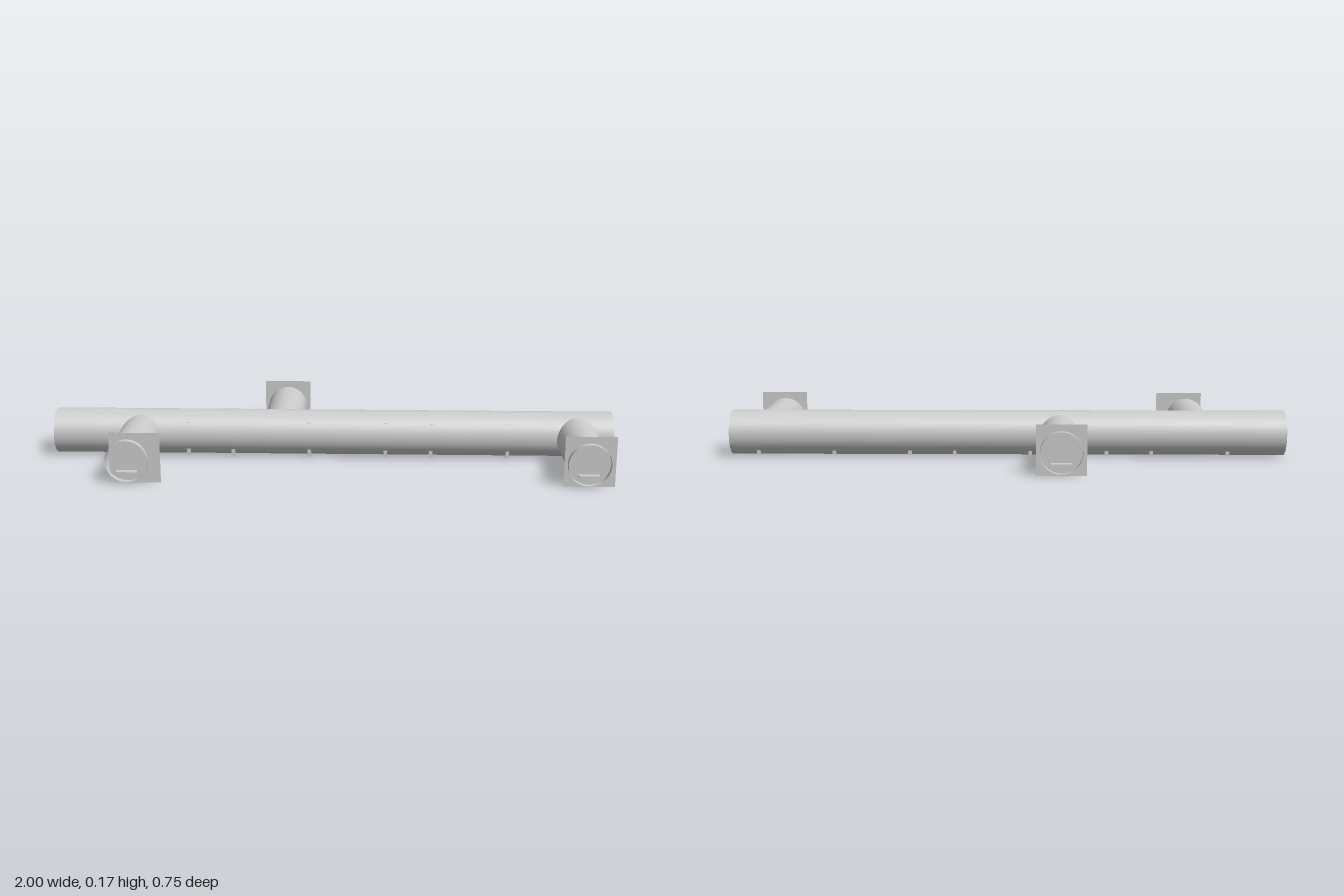
import * as THREE from 'three';

const material = new THREE.MeshStandardMaterial({ color: 0xcccccc, side: THREE.DoubleSide });
const MAIN = { r: 0.08, y: 0.082, z: 0.01 };
const BRANCH = { r: 0.072, y: 0.08, end: 0.372 };

function add(parent, name, geometry, x = 0, y = 0, z = 0) {
  const mesh = new THREE.Mesh(geometry, material);
  mesh.name = name;
  mesh.position.set(x, y, z);
  parent.add(mesh);
  return mesh;
}

// Open cylinder lying along x
const pipeX = (r, length, sides) =>
  new THREE.CylinderGeometry(r, r, length, sides, 1, true).rotateZ(Math.PI / 2);

// Side tunnel whose inner end is saddle-cut to the main tube
function branch(name, x, side, plateX) {
  const group = new THREE.Group();
  group.name = name;
  const { r, y, end } = BRANCH;
  const tube = new THREE.CylinderGeometry(r, r, 1, 48, 1, true).rotateX(Math.PI / 2);
  const p = tube.attributes.position;
  for (let i = 0; i < p.count; i++) {
    const outer = p.getZ(i) * side > 0;
    const dy = p.getY(i) + y - MAIN.y;
    const cut = MAIN.z + side * Math.sqrt(MAIN.r ** 2 - dy ** 2);
    p.setZ(i, outer ? side * end : cut);
  }
  add(group, 'branchTube', tube, x, y, 0);

  // Thin square end wall, slightly recessed
  add(group, 'endPlate', new THREE.PlaneGeometry(0.172, 0.175), plateX, 0.0875, side * 0.352);

  // Walkway slab from the main tube out past the end
  const tip = side * 0.376;
  add(group, 'branchFloor', new THREE.BoxGeometry(0.07, 0.006, Math.abs(tip - MAIN.z)),
    x, 0.041, (tip + MAIN.z) / 2);
  return group;
}

// Portal frame outline in (z, y), with chamfered inner corners
function frameGeometry() {
  const w = 0.059, t = 0.01, top = 0.132, foot = 0.008, c = 0.014;
  const s = new THREE.Shape([
    [-w, foot], [-w + t, foot], [-w + t, top - t - c], [-w + t + c, top - 0.007],
    [w - t - c, top - 0.007], [w - t, top - t - c], [w - t, foot], [w, foot],
    [w, top], [-w, top],
  ].map(([a, b]) => new THREE.Vector2(a, b)));
  return new THREE.ExtrudeGeometry(s, { depth: 0.013, bevelEnabled: false })
    .translate(0, 0, -0.0065).rotateY(Math.PI / 2);
}

export function createModel() {
  const model = new THREE.Group();
  model.name = 'tunnel';

  add(model, 'mainTube', pipeX(MAIN.r, 1.99, 64), -0.005, MAIN.y, MAIN.z);
  add(model, 'mainFloor', new THREE.BoxGeometry(2, 0.006, 0.07), 0, 0.041, 0.008);

  model.add(branch('frontRightBranch', -0.69, 1, -0.663));
  model.add(branch('frontLeftBranch', 0.861, 1, 0.864));
  model.add(branch('backBranch', -0.19, -1, -0.19));

  // Support frames; their feet pass through the tube wall
  const portal = frameGeometry();
  const bolt = new THREE.CylinderGeometry(0.0035, 0.0035, 0.018, 12).rotateZ(Math.PI / 2);
  for (const x of [-0.794, -0.521, -0.361, -0.088, 0.184, 0.345, 0.618, 0.89]) {
    const frame = new THREE.Group();
    frame.name = 'supportFrame';
    frame.position.set(x, 0, 0.014);
    add(frame, 'portal', portal);
    for (const s of [-1, 1]) add(frame, 'cornerBolt', bolt, 0, 0.124, s * 0.049);
    model.add(frame);
  }

  // Row of conduits resting on the frames
  const conduit = pipeX(0.0038, 1.99, 12);
  for (let i = 0; i < 6; i++) add(model, 'conduit', conduit, -0.005, 0.137, 0.034 - i * 0.0084);

  return model;
}
